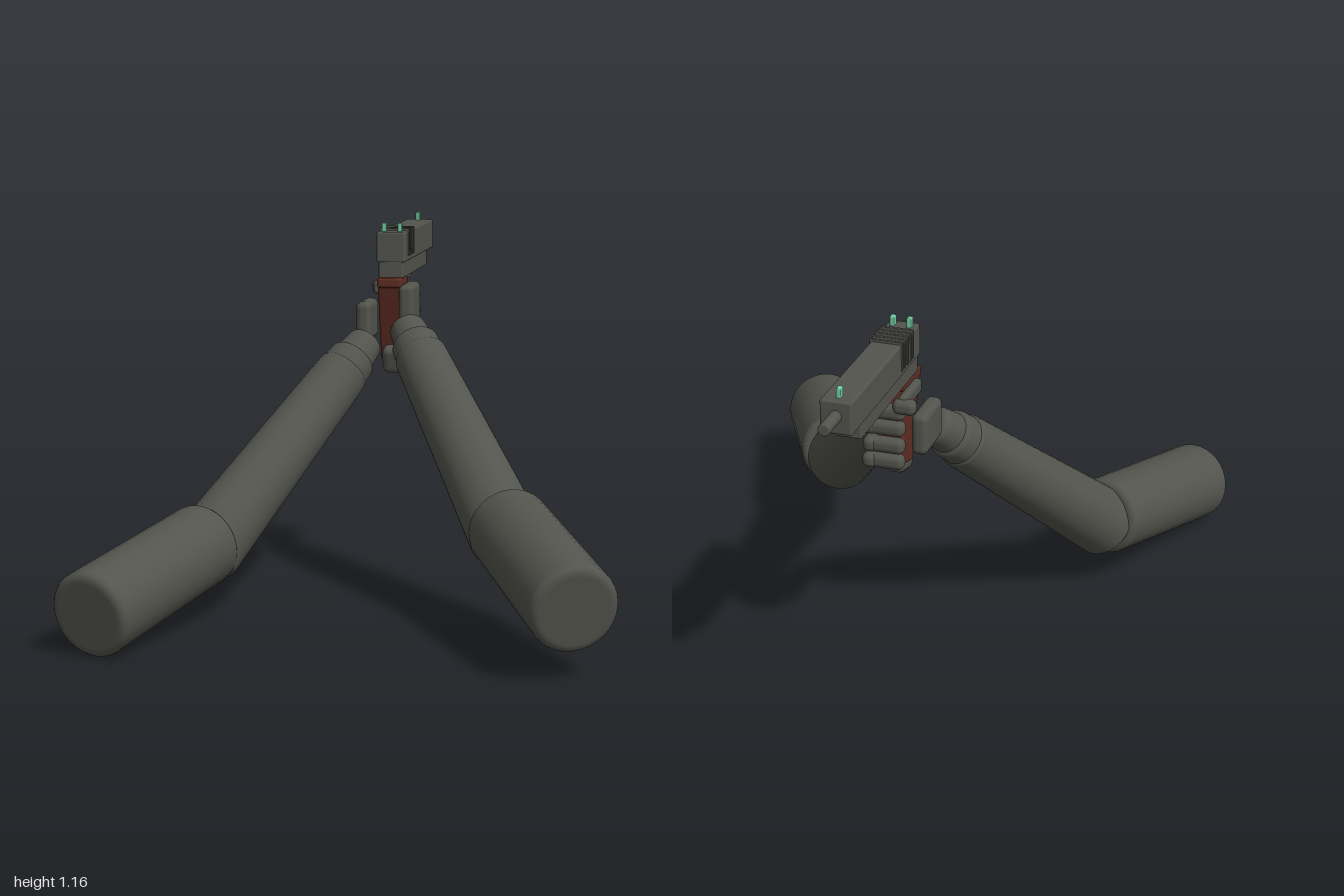
import * as THREE from 'three';
import { RoundedBoxGeometry } from 'three/addons/geometries/RoundedBoxGeometry.js';

const flat = (name, color) => {
  const m = new THREE.MeshStandardMaterial({ color });
  m.name = name;
  return m;
};

export function createModel() {
  const root = new THREE.Group();
  root.name = 'armsHoldingPistol';
  const gray = flat('charcoal gray', 0x54544e);
  const brown = flat('grip brown', 0x5e2d22);
  const green = flat('sight green', 0x74cfa4);
  const V = (p) => new THREE.Vector3(...p);

  const add = (parent, name, geometry, material) => {
    const mesh = new THREE.Mesh(geometry, material);
    mesh.name = name;
    parent.add(mesh);
    return mesh;
  };

  // Tapered cylinder with rounded rims, running from point a to point b
  const limb = (parent, name, a, b, ra, rb, bevel, material = gray) => {
    const from = V(a), to = V(b), len = from.distanceTo(to);
    const pts = [new THREE.Vector2(0, 0), new THREE.Vector2((ra - bevel) * 0.95, 0)];
    for (let i = 0; i <= 5; i++) {
      const t = (i / 5) * Math.PI / 2;
      pts.push(new THREE.Vector2(ra - bevel + bevel * Math.sin(t), bevel - bevel * Math.cos(t)));
    }
    for (let i = 0; i <= 5; i++) {
      const t = (i / 5) * Math.PI / 2;
      pts.push(new THREE.Vector2(rb - bevel + bevel * Math.cos(t), len - bevel + bevel * Math.sin(t)));
    }
    pts.push(new THREE.Vector2((rb - bevel) * 0.95, len), new THREE.Vector2(0, len));
    const mesh = add(parent, name, new THREE.LatheGeometry(pts, 32), material);
    mesh.position.copy(from);
    mesh.quaternion.setFromUnitVectors(new THREE.Vector3(0, 1, 0), to.sub(from).normalize());
    return mesh;
  };

  const block = (parent, name, size, pos, radius, material = gray, rot = [0, 0, 0]) => {
    const mesh = add(parent, name, new RoundedBoxGeometry(...size, 3, radius), material);
    mesh.position.set(...pos);
    mesh.rotation.set(...rot);
    return mesh;
  };

  // Arms: shoulder sleeve, forearm, cuff and wrist
  const arm = (name, shoulder, elbow, bend, wrist) => {
    const g = new THREE.Group();
    g.name = name;
    root.add(g);
    const along = (t) => V(bend).lerp(V(wrist), t).toArray();
    limb(g, 'upperArm', shoulder, elbow, 0.131, 0.127, 0.025);
    limb(g, 'forearm', along(-0.06), along(1), 0.113, 0.086, 0.015);
    limb(g, 'cuff', along(0.97), along(1.08), 0.08, 0.078, 0.02);
    limb(g, 'wrist', along(1.04), along(1.19), 0.066, 0.06, 0.03);
    return g;
  };
  const left = arm('leftArm', [0.70, 0.22, 0.925], [0.445, 0.335, 0.385],
    [0.43, 0.325, 0.37], [0.09, 0.768, -0.175]);
  const right = arm('rightArm', [-0.69, 0.142, 0.92], [-0.49, 0.245, 0.355],
    [-0.475, 0.24, 0.345], [-0.155, 0.715, -0.16]);

  // Left hand: palm beside the grip, fingers wrapping round its front
  block(left, 'leftPalm', [0.05, 0.19, 0.16], [0.025, 0.885, -0.36], 0.018);
  [0.93, 0.88, 0.825, 0.775].forEach((y, i) => {
    block(left, 'leftFinger', [0.045, 0.048, 0.09], [0.02, y, -0.45 - 0.006 * i], 0.02);
    block(left, 'leftFingertip', [0.12, 0.048, 0.045], [-0.025, y, -0.474 - 0.003 * i], 0.02);
  });

  // Right hand: palm, trigger finger and heel under the grip
  block(right, 'rightPalm', [0.05, 0.13, 0.16], [-0.12, 0.855, -0.38], 0.02);
  block(right, 'rightTriggerFinger', [0.03, 0.045, 0.15], [-0.078, 0.965, -0.41], 0.014);
  block(right, 'rightFingertip', [0.07, 0.045, 0.045], [-0.085, 0.955, -0.48], 0.018);
  block(right, 'rightLowerFinger', [0.065, 0.09, 0.1], [-0.028, 0.735, -0.365], 0.022, gray, [0.25, 0, 0]);

  // Pistol
  const gun = new THREE.Group();
  gun.name = 'pistol';
  gun.position.x = -0.03;
  root.add(gun);
  block(gun, 'slide', [0.094, 0.1, 0.595], [0, 1.1, -0.608], 0.007);
  block(gun, 'frame', [0.08, 0.06, 0.5], [0, 1.028, -0.562], 0.005);
  limb(gun, 'barrel', [0, 1.105, -0.88], [0, 1.105, -1], 0.018, 0.018, 0.004);
  block(gun, 'triggerGuard', [0.05, 0.016, 0.135], [0, 0.988, -0.515], 0.005);
  block(gun, 'grip', [0.08, 0.26, 0.115], [0, 0.865, -0.382], 0.008, brown, [0.25, 0, 0]);
  block(gun, 'gripTang', [0.08, 0.032, 0.14], [0, 0.986, -0.35], 0.008, brown);
  for (let i = 0; i < 5; i++) {
    block(gun, 'slideRib', [0.102, 0.09, 0.01], [0, 1.113, -0.385 - i * 0.024], 0.002);
  }
  for (const [x, z] of [[-0.026, -0.345], [0.026, -0.345], [0, -0.87]]) {
    block(gun, 'sight', [0.014, 0.032, 0.024], [x, 1.162, z], 0.003, green);
  }
  return root;
}
